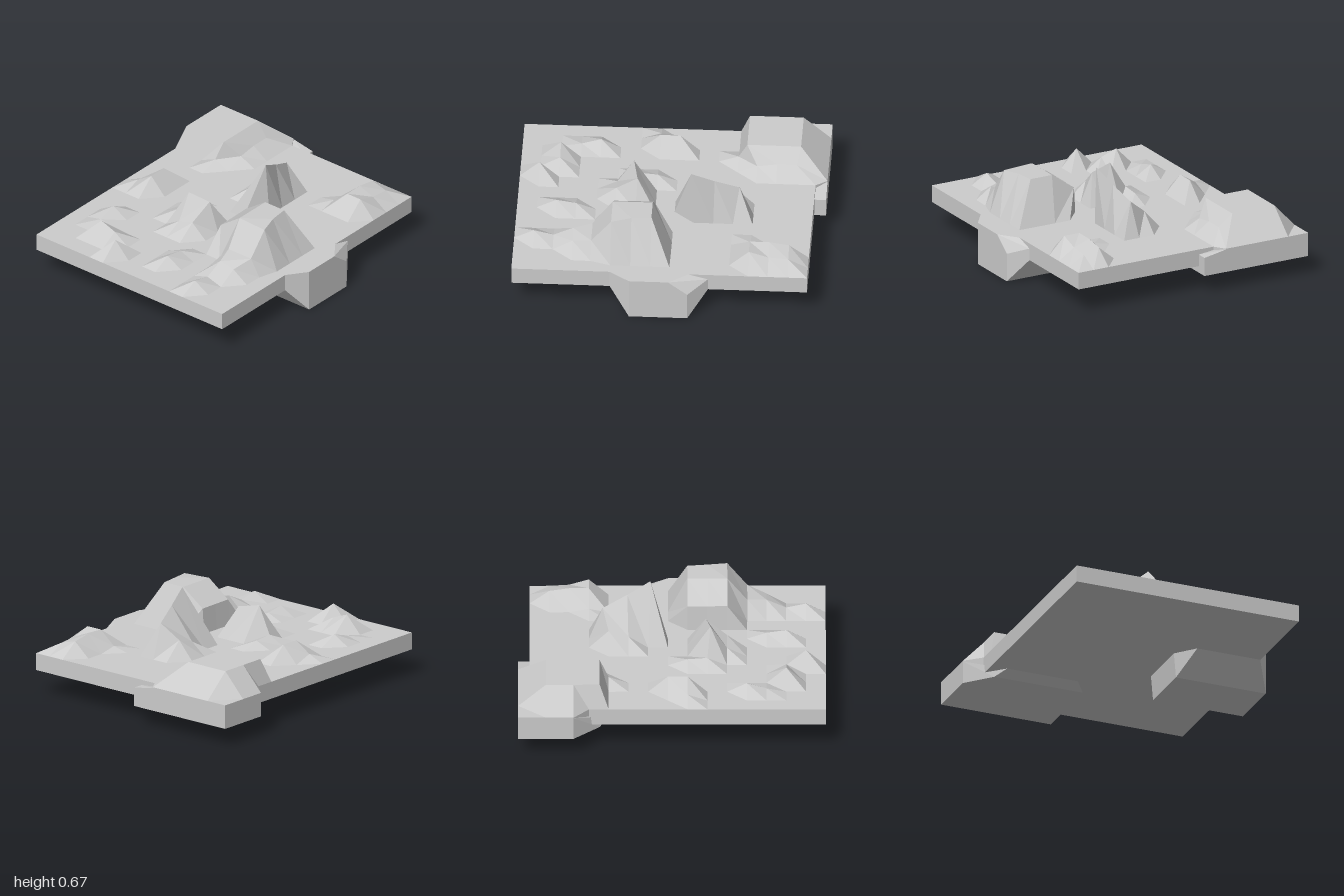
import * as THREE from 'three';
import { ConvexGeometry } from 'three/addons/geometries/ConvexGeometry.js';

const COLS = 15, ROWS = 14;
const TOP = 0.285, BOTTOM = 0.17;
const material = new THREE.MeshStandardMaterial({ color: 0xcccccc, flatShading: true });

// Each sculpted grid point: [column, row, height, x?, z?]
const frontMound = [
  [4, 10, 0.285, -0.49, 0.34], [4, 11, 0.4, -0.49, 0.42], [4, 12, 0.4, -0.49, 0.61],
  [5, 10, 0.455, -0.36, 0.245], [6, 10, 0.455, -0.23, 0.243], [7, 10, 0.455, -0.1, 0.24],
  [5, 11, 0.57, -0.36, 0.405], [6, 11, 0.57, -0.23, 0.405], [7, 11, 0.57, -0.1, 0.405],
  [5, 12, 0.56, -0.36, 0.615], [6, 12, 0.57, -0.23, 0.58], [7, 12, 0.57, -0.1, 0.565],
  [4, 13, TOP, -0.49, 0.68], [5, 13, TOP, -0.36, 0.72], [6, 13, TOP, -0.23, 0.72],
  [7, 13, TOP, -0.1, 0.72], [8, 13, TOP, 0.025, 0.72],
];
const centreHill = [
  [6, 6, 0.515, -0.25, -0.115], [6, 7, 0.485, -0.22, 0.035], [7, 7, TOP, -0.1, 0.03],
  [6, 5, 0.34], [7, 5, 0.33], [5, 6, 0.35], [5, 7, 0.38],
];
const spike = [
  [9, 8, 0.665, 0.14, 0.21], [10, 8, 0.585, 0.29, 0.172], [11, 8, 0.51, 0.45, 0.13],
  [10, 7, 0.37], [11, 7, 0.41],
];
const smallHills = [
  [12, 11, 0.31], [12, 12, 0.4], [13, 12, 0.4], [14, 12, 0.38],
  [12, 13, 0.4], [13, 13, 0.36], [14, 13, 0.35],
  [1, 11, 0.35], [2, 11, 0.32], [3, 11, 0.38], [3, 12, 0.36],
  [2, 8, 0.35], [3, 8, 0.33],
  [1, 5, 0.4], [2, 3, 0.4], [2, 4, 0.36], [3, 2, 0.31], [4, 2, 0.35],
  [7, 1, 0.33], [7, 2, 0.4], [8, 2, 0.4],
];
const cornerHill = [
  [12, 0, TOP, 0.54, -0.78], [13, 0, TOP, 0.64, -0.885],
  [14, 0, TOP, 0.82, -0.885], [15, 0, TOP, 1, -0.885],
  [15, 1, TOP, 1, -0.735], [15, 2, TOP, 1, -0.58], [15, 3, TOP, 1, -0.42], [15, 4, TOP, 1, -0.27],
  [11, 3, 0.33], [12, 4, 0.34], [13, 4, 0.36], [14, 4, 0.36],
];
for (const [i, x] of [[12, 0.47], [13, 0.64], [14, 0.82]])
  for (const [j, z] of [[1, -0.735], [2, -0.58], [3, -0.42]]) cornerHill.push([i, j, 0.445, x, z]);

function terrainPoints() {
  const grid = [];
  for (let j = 0; j <= ROWS; j++) {
    grid.push([]);
    for (let i = 0; i <= COLS; i++)
      grid[j].push([-1 + (i * 1.925) / COLS, TOP, -0.78 + (j * 1.57) / ROWS]);
  }
  for (const [i, j, y, x, z] of [...frontMound, ...centreHill, ...spike, ...smallHills, ...cornerHill]) {
    const p = grid[j][i];
    grid[j][i] = [x ?? p[0], y, z ?? p[2]];
  }
  return grid;
}

function trianglesMesh(name, positions) {
  const geometry = new THREE.BufferGeometry();
  geometry.setAttribute('position', new THREE.Float32BufferAttribute(positions, 3));
  geometry.computeVertexNormals();
  const mesh = new THREE.Mesh(geometry, material);
  mesh.name = name;
  return mesh;
}

function hullMesh(name, points) {
  const mesh = new THREE.Mesh(new ConvexGeometry(points.map((p) => new THREE.Vector3(...p))), material);
  mesh.name = name;
  return mesh;
}

export function createModel() {
  const group = new THREE.Group();
  group.name = 'terrainTile';
  const grid = terrainPoints();

  // Hilly upper surface
  const surface = [];
  for (let j = 0; j < ROWS; j++)
    for (let i = 0; i < COLS; i++) {
      const a = grid[j][i], b = grid[j + 1][i], c = grid[j + 1][i + 1], d = grid[j][i + 1];
      surface.push(...a, ...b, ...c, ...a, ...c, ...d);
    }
  group.add(trianglesMesh('terrainSurface', surface));

  // Slab walls and underside, following the border of the surface
  const border = [];
  for (let j = 0; j < ROWS; j++) border.push(grid[j][0]);
  for (let i = 0; i < COLS; i++) border.push(grid[ROWS][i]);
  for (let j = ROWS; j > 0; j--) border.push(grid[j][COLS]);
  for (let i = COLS; i > 0; i--) border.push(grid[0][i]);
  const slab = [];
  border.forEach((a, k) => {
    const b = border[(k + 1) % border.length];
    const a0 = [a[0], BOTTOM, a[2]], b0 = [b[0], BOTTOM, b[2]];
    slab.push(...a, ...a0, ...b0, ...a, ...b0, ...b);
    slab.push(0, BOTTOM, 0, ...b0, ...a0);
  });
  group.add(trianglesMesh('slab', slab));

  // Deep block under the front edge, with one chipped top corner
  group.add(hullMesh('frontBlock', [
    [-0.23, 0, 0.25], [0.15, 0, 0.25], [0.15, 0, 0.885], [-0.23, 0, 0.885],
    [-0.36, BOTTOM, 0.345], [-0.23, BOTTOM, 0.235], [0.15, BOTTOM, 0.235], [0.28, BOTTOM, 0.345],
    [-0.36, BOTTOM, 0.79], [0.28, BOTTOM, 0.79], [0.28, 0.25, 0.79], [0.15, 0.19, 0.885],
    [-0.36, TOP, 0.79], [-0.23, TOP, 0.885], [0.025, TOP, 0.885], [0.15, TOP, 0.79],
  ]));

  // Shallow block under the back corner
  group.add(hullMesh('cornerBlock', [
    [0.47, 0.125, -0.735], [0.64, 0.125, -0.885], [1, 0.125, -0.885], [1, 0.125, -0.11], [0.47, 0.125, -0.11],
    [0.41, BOTTOM, -0.67], [0.54, BOTTOM, -0.78], [0.41, BOTTOM, -0.17],
    [0.64, 0.28, -0.885], [1, 0.28, -0.885], [1, 0.28, -0.27], [1, 0.25, -0.11], [0.925, 0.25, -0.11],
  ]));
  return group;
}
